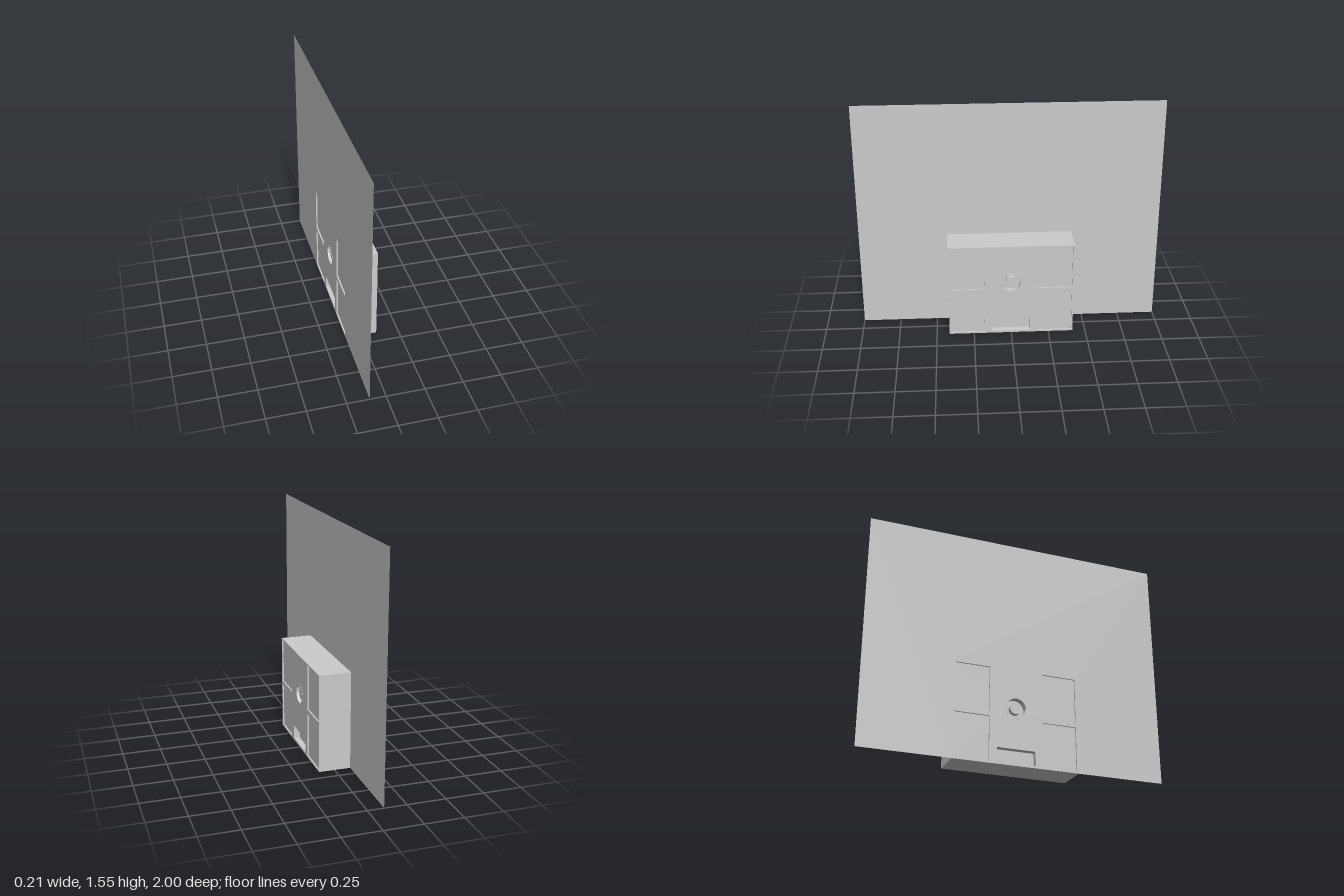
import * as THREE from 'three';

const HALF_X = 0.105, HALF_Z = 0.415, HEIGHT = 0.645;
const DIAL_Y = 0.38, DIAL_R = 0.0625;
const PANEL_DEPTH = 0.01, POCKET_DEPTH = 0.04;

const material = new THREE.MeshStandardMaterial({ color: 0xcccccc });
const sheetMaterial = new THREE.MeshStandardMaterial({ color: 0xcccccc, side: THREE.DoubleSide });

function rect(x0, y0, x1, y1, Type = THREE.Path) {
  return new Type([[x0, y0], [x1, y0], [x1, y1], [x0, y1]].map(([x, y]) => new THREE.Vector2(x, y)));
}

function part(name, geometry, mat = material) {
  const mesh = new THREE.Mesh(geometry, mat);
  mesh.name = name;
  return mesh;
}

// One slab of the cabinet, from depth "from" to "to" below its decorated face
function slab(name, holes, from, to) {
  const shape = rect(-HALF_Z, 0, HALF_Z, HEIGHT, THREE.Shape);
  shape.holes.push(...holes);
  const geometry = new THREE.ExtrudeGeometry(shape, { depth: to - from, bevelEnabled: false, curveSegments: 24 });
  geometry.translate(0, 0, HALF_X - to);
  return part(name, geometry);
}

// Decorated face, built facing +z and turned to either side later
function createFace(name) {
  const face = new THREE.Group();
  face.name = name;

  const dialHole = new THREE.Path().absarc(0, DIAL_Y, DIAL_R, 0, Math.PI * 2);
  const trayHole = rect(-0.127, 0.015, 0.127, 0.107);
  const panelHoles = [];
  for (const [a, b] of [[-0.405, -0.178], [0.178, 0.405]]) {
    for (const [low, high] of [[0.01, 0.305], [0.335, 0.635]]) panelHoles.push(rect(a, low, b, high));
  }

  // Four shallow panels, then the deeper tray pocket and dial well
  face.add(slab('panelFrame', [...panelHoles, trayHole, dialHole], 0, PANEL_DEPTH));
  face.add(slab('pocketLayer', [trayHole, dialHole], PANEL_DEPTH, POCKET_DEPTH));

  // Thin rim around the dial well
  const rimShape = new THREE.Shape().absarc(0, DIAL_Y, 0.0725, 0, Math.PI * 2);
  rimShape.holes.push(dialHole);
  const rim = new THREE.ExtrudeGeometry(rimShape, { depth: 0.002, bevelEnabled: false, curveSegments: 24 });
  rim.translate(0, 0, HALF_X);
  face.add(part('dialRim', rim));

  // Round dial standing in the well
  const dial = new THREE.CylinderGeometry(0.037, 0.037, 0.03, 32);
  dial.rotateX(Math.PI / 2).translate(0, DIAL_Y, HALF_X - POCKET_DEPTH + 0.015);
  face.add(part('dial', dial));
  return face;
}

export function createModel() {
  const model = new THREE.Group();
  model.name = 'cabinetWithBackSheet';

  // Solid middle of the cabinet
  const coreWidth = 2 * (HALF_X - POCKET_DEPTH);
  const core = new THREE.BoxGeometry(coreWidth, HEIGHT, 2 * HALF_Z);
  core.translate(0, HEIGHT / 2, 0);
  model.add(part('cabinetCore', core));

  // The same face on both broad sides
  for (const side of [1, -1]) {
    const face = createFace(side > 0 ? 'leftFace' : 'rightFace');
    face.rotation.y = side * Math.PI / 2;
    model.add(face);
  }

  // Large thin sheet flush with the cabinet's far side, cut out around it
  const outline = [[-1, 0], [-HALF_Z, 0], [-HALF_Z, HEIGHT], [HALF_Z, HEIGHT], [HALF_Z, 0], [1, 0], [1, 1.55], [-1, 1.55]];
  const sheet = new THREE.ShapeGeometry(new THREE.Shape(outline.map(([x, y]) => new THREE.Vector2(x, y))));
  sheet.rotateY(-Math.PI / 2).translate(-HALF_X, 0, 0);
  model.add(part('backSheet', sheet, sheetMaterial));

  return model;
}
